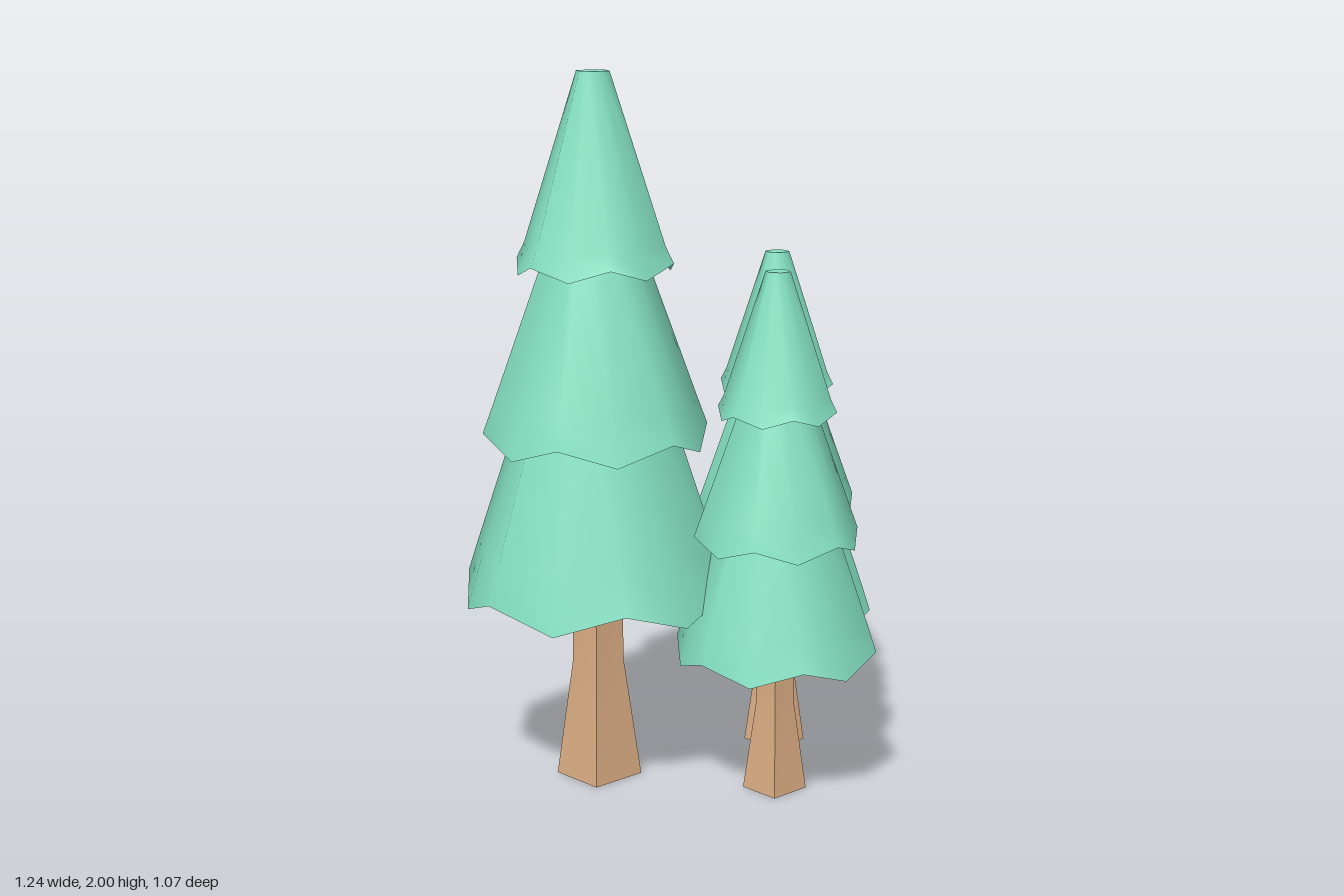
import * as THREE from 'three';
import { toCreasedNormals } from 'three/addons/utils/BufferGeometryUtils.js';

const leafMat = new THREE.MeshStandardMaterial({ color: 0x83dfc0 });
const trunkMat = new THREE.MeshStandardMaterial({ color: 0xdcae84 });
const SIDES = 12;

// Closed skin through rings; each ring is [corner radius, corner y, mid radius, mid y],
// corners and mids alternating around the tree
function ringGeometry(rings, turn) {
  const pos = [], index = [];
  rings.forEach(([rc, yc, rm, ym], k) => {
    for (let i = 0; i < SIDES; i++) {
      const a = (i / SIDES) * Math.PI * 2 + turn;
      const r = i % 2 ? rm : rc;
      pos.push(r * Math.cos(a), i % 2 ? ym : yc, r * Math.sin(a));
      if (k === 0) continue;
      const j = (i + 1) % SIDES;
      const t = (k - 1) * SIDES, b = k * SIDES;
      if (rings[k - 1][0] > 0) index.push(t + i, t + j, b + i);
      if (rc > 0) index.push(t + j, b + j, b + i);
    }
  });
  const g = new THREE.BufferGeometry();
  g.setAttribute('position', new THREE.Float32BufferAttribute(pos, 3));
  g.setIndex(index);
  return toCreasedNormals(g, 1.15);
}

// Skirt of foliage: hexagonal top, flared zigzag rim, hollow underside
function tierGeometry({ top, flare, high, low, turn }) {
  const [rt, yt] = top, [rf, yf] = flare, [rh, yh] = high, [rl, yl] = low;
  return ringGeometry([
    [0, yt, 0, yt],
    [rt, yt, rt * 0.866, yt],
    [rf, yf, rf * 0.92, yf - 0.015],
    [rh, yh, rl, yl],
    [rf * 0.94, yf - 0.02, rf * 0.87, yf - 0.03],
    [0, yf - 0.02, 0, yf - 0.02],
  ], turn);
}

const tiers = [
  { name: 'lowerFoliage', top: [0.19, 1.16], flare: [0.356, 0.68], high: [0.39, 0.578], low: [0.37, 0.515], turn: 0 },
  { name: 'middleFoliage', top: [0.105, 1.6], flare: [0.29, 1.09], high: [0.318, 1.015], low: [0.302, 0.965], turn: Math.PI / 6 },
  { name: 'upperFoliage', top: [0.048, 2], flare: [0.205, 1.53], high: [0.228, 1.485], low: [0.213, 1.45], turn: 0 },
].map((t) => ({ name: t.name, geometry: tierGeometry(t) }));

// Square trunk that widens towards the ground
function trunkGeometry() {
  const g = new THREE.BoxGeometry(1, 0.68, 1, 1, 2, 1).translate(0, 0.34, 0);
  const p = g.attributes.position;
  for (let i = 0; i < p.count; i++) {
    const y = p.getY(i);
    const w = y < 0.1 ? 0.17 : y < 0.5 ? 0.102 : 0.096;
    p.setX(i, p.getX(i) * w);
    p.setZ(i, p.getZ(i) * w);
  }
  return toCreasedNormals(g, 0.5);
}
const trunk = trunkGeometry();

function makeTree(name, x, z, scale) {
  const tree = new THREE.Group();
  tree.name = name;
  const add = (part, geometry, material) => {
    const m = new THREE.Mesh(geometry, material);
    m.name = part;
    tree.add(m);
  };
  add('trunk', trunk, trunkMat);
  tiers.forEach((t) => add(t.name, t.geometry, leafMat));
  tree.position.set(x, 0, z);
  tree.scale.setScalar(scale);
  return tree;
}

export function createModel() {
  const group = new THREE.Group();
  group.name = 'treeCluster';
  group.add(
    makeTree('tallTree', -0.232, -0.165, 1),
    makeTree('smallTreeLeft', 0.335, -0.02, 0.736),
    makeTree('smallTreeFront', 0.052, 0.262, 0.736),
  );
  return group;
}
